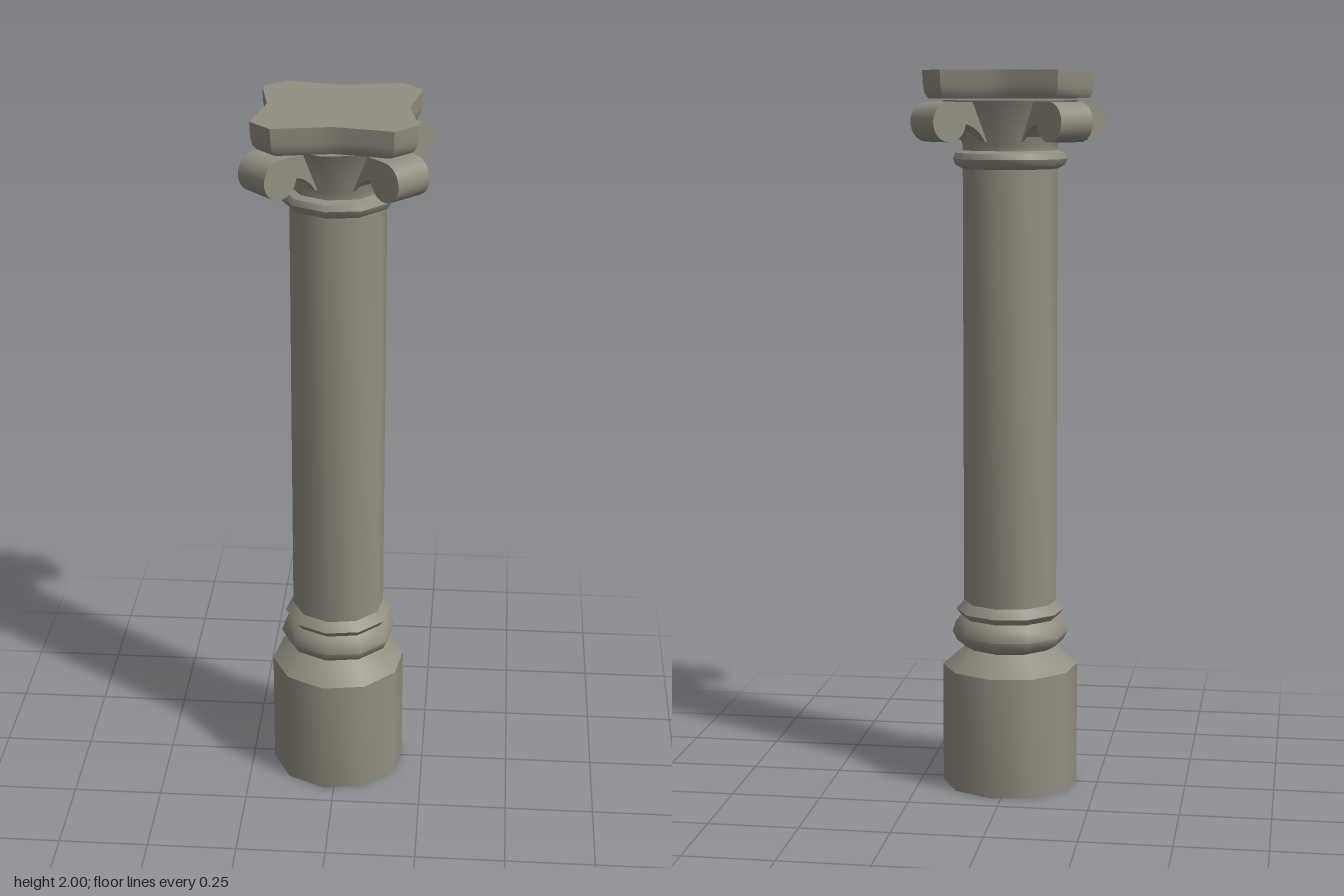
import * as THREE from 'three';
import { toCreasedNormals } from 'three/addons/utils/BufferGeometryUtils.js';

export function createModel() {
  const group = new THREE.Group();
  const stone = new THREE.MeshStandardMaterial({ color: 0x928e80 });
  stone.name = 'stone';

  const add = (name, geometry, crease = 0.75) => {
    const mesh = new THREE.Mesh(toCreasedNormals(geometry, crease), stone);
    mesh.name = name;
    group.add(mesh);
    return mesh;
  };

  // ten-sided turned parts, given as [radius, height] profiles
  const turned = (name, profile) => add(name, new THREE.LatheGeometry(
    profile.map(([r, y]) => new THREE.Vector2(r, y)), 10, -Math.PI / 20));

  turned('pedestal', [[0, 0], [0.19, 0], [0.19, 0.34], [0.125, 0.395]]);
  turned('baseMoulding', [[0.125, 0.395], [0.151, 0.41], [0.163, 0.435], [0.153, 0.465],
    [0.138, 0.482], [0.152, 0.5], [0.13, 0.525]]);
  turned('shaft', [[0.13, 0.525], [0.13, 1.735]]);
  turned('neckRing', [[0.13, 1.735], [0.15, 1.745], [0.157, 1.762], [0.15, 1.778], [0.13, 1.785]]);
  turned('capitalBell', [[0.13, 1.785], [0.13, 1.8], [0.184, 1.92], [0, 1.92]]);

  // corner scrolls: a curved bracket ending in a round roll
  const scroll = new THREE.Shape();
  scroll.moveTo(0.08, 1.81);
  scroll.lineTo(0.124, 1.81);
  scroll.quadraticCurveTo(0.15, 1.85, 0.188, 1.857);
  scroll.absarc(0.24, 1.863, 0.053, Math.PI, Math.PI * 2.5, false);
  scroll.lineTo(0.08, 1.916);
  const scrollGeometry = new THREE.ExtrudeGeometry(scroll,
    { depth: 0.106, bevelEnabled: false, curveSegments: 12 });
  scrollGeometry.translate(0, 0, -0.053);
  for (let i = 0; i < 4; i++) {
    add('cornerScroll', scrollGeometry).rotation.y = Math.PI / 4 + i * Math.PI / 2;
  }

  // top slab with concave sides and clipped corners
  const side = [[0.157, 0.215], [0.11, 0.206], [0.06, 0.197], [0.03, 0.191], [0, 0.187],
    [-0.03, 0.191], [-0.06, 0.197], [-0.11, 0.206], [-0.157, 0.215]];
  const outline = [];
  for (let i = 0; i < 4; i++) {
    const c = [1, 0, -1, 0][i], s = [0, 1, 0, -1][i];
    for (const [x, y] of side) outline.push(new THREE.Vector2(x * c - y * s, x * s + y * c));
  }
  const slab = new THREE.ExtrudeGeometry(new THREE.Shape(outline),
    { depth: 3, steps: 3, bevelEnabled: false });
  slab.rotateX(-Math.PI / 2);
  // rounded lower edge: each level gets its own height and scale
  const levels = [[1.925, 0.93], [1.937, 0.97], [1.958, 0.99], [2, 1]];
  const p = slab.attributes.position;
  for (let i = 0; i < p.count; i++) {
    const [y, k] = levels[Math.round(p.getY(i))];
    p.setXYZ(i, p.getX(i) * k, y, p.getZ(i) * k);
  }
  add('topSlab', slab, 0.7);

  return group;
}
